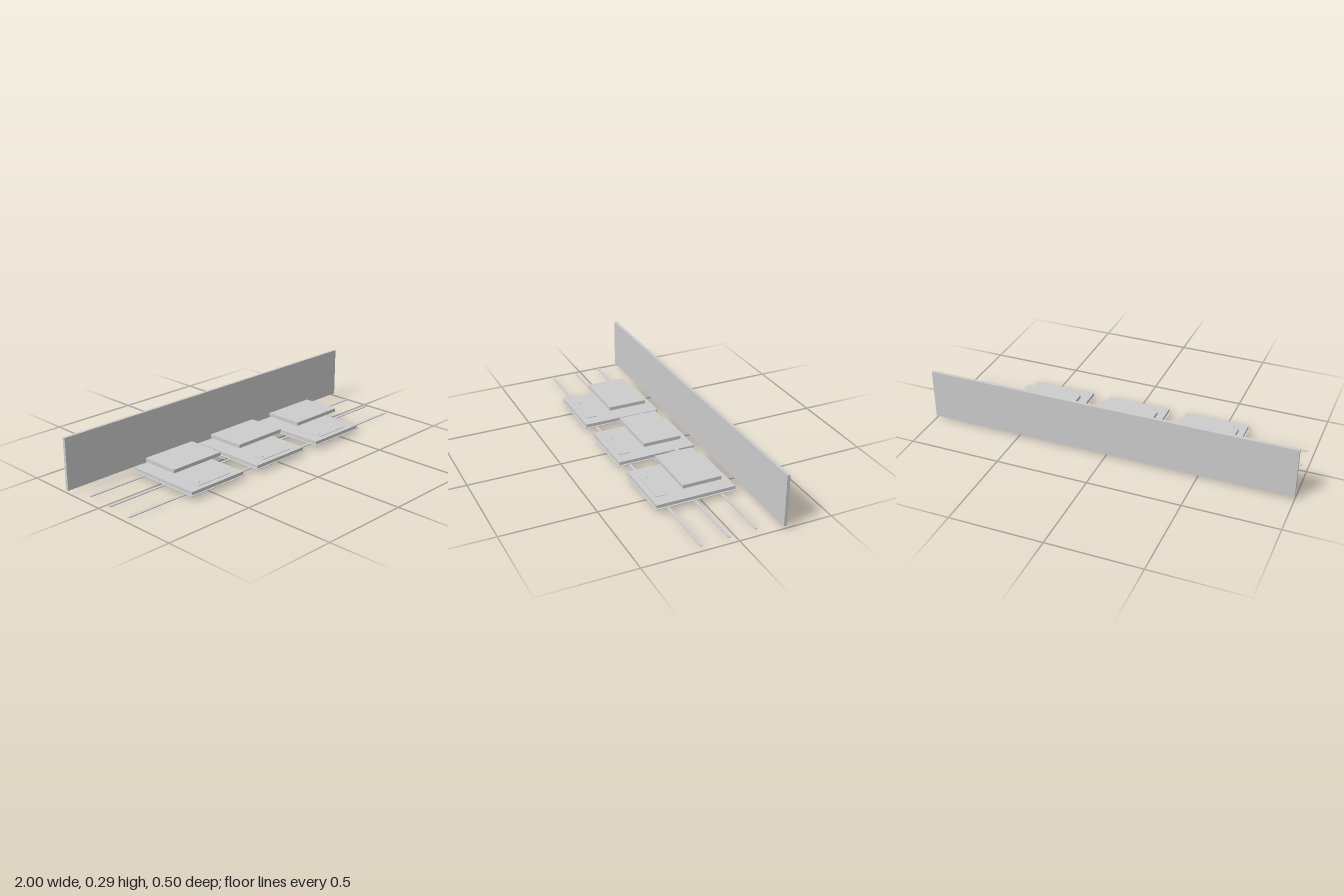
import * as THREE from 'three';

export function createModel() {
  const model = new THREE.Group();
  model.name = 'workstationRow';
  const grey = new THREE.MeshStandardMaterial({ color: 0xcccccc });
  grey.name = 'light grey';

  // Box given by its limits on each axis
  const box = (parent, name, [x0, x1], [y0, y1], [z0, z1]) => {
    const mesh = new THREE.Mesh(new THREE.BoxGeometry(x1 - x0, y1 - y0, z1 - z0), grey);
    mesh.position.set((x0 + x1) / 2, (y0 + y1) / 2, (z0 + z1) / 2);
    mesh.name = name;
    parent.add(mesh);
    return mesh;
  };

  // Long back wall
  box(model, 'backWall', [-1, 1], [0.016, 0.292], [-0.252, -0.236]);

  // Three rails, each a little higher towards the back
  [[0.002, 0.178], [0.009, 0.036], [0.016, -0.107]].forEach(([y, z]) =>
    box(model, 'rail', [-0.965, 0.965], [y, y + 0.004], [z - 0.007, z + 0.007]));

  // Three identical stations
  for (const x of [-0.45, 0, 0.45]) {
    const station = new THREE.Group();
    station.name = 'station';
    station.position.x = x;
    box(station, 'basePlate', [-0.184, 0.184], [0.0215, 0.0235], [-0.197, 0.253]);
    box(station, 'baseBlock', [-0.174, 0.174], [0.0235, 0.041], [-0.186, 0.244]);
    box(station, 'controlPlate', [-0.105, 0.105], [0.041, 0.0435], [0.155, 0.214]);
    box(station, 'controlButton', [-0.082, -0.07], [0.0435, 0.0465], [0.18, 0.188]);
    box(station, 'post', [-0.008, 0.008], [0.041, 0.077], [-0.052, -0.035]);
    box(station, 'panelMount', [-0.012, 0.012], [0.085, 0.088], [-0.04, -0.014]);
    box(station, 'topPanel', [-0.157, 0.157], [0.088, 0.107], [-0.115, 0.097]);
    model.add(station);
  }

  // Links bridging the gaps, with a diagonal brace beside the middle station
  for (const side of [-1, 1]) {
    const link = new THREE.Group();
    link.name = 'link';
    const span = [side * 0.225 - 0.052, side * 0.225 + 0.052];
    box(link, 'rearLinkBar', span, [0.037, 0.0425], [-0.09, -0.072]);
    box(link, 'frontLinkBar', span, [0.031, 0.035], [-0.07, -0.038]);
    const path = new THREE.LineCurve3(
      new THREE.Vector3(side * 0.228, 0.034, -0.065),
      new THREE.Vector3(side * 0.197, 0.022, 0.034));
    const brace = new THREE.Mesh(new THREE.TubeGeometry(path, 1, 0.004, 6), grey);
    brace.name = 'brace';
    link.add(brace);
    model.add(link);
  }
  return model;
}
